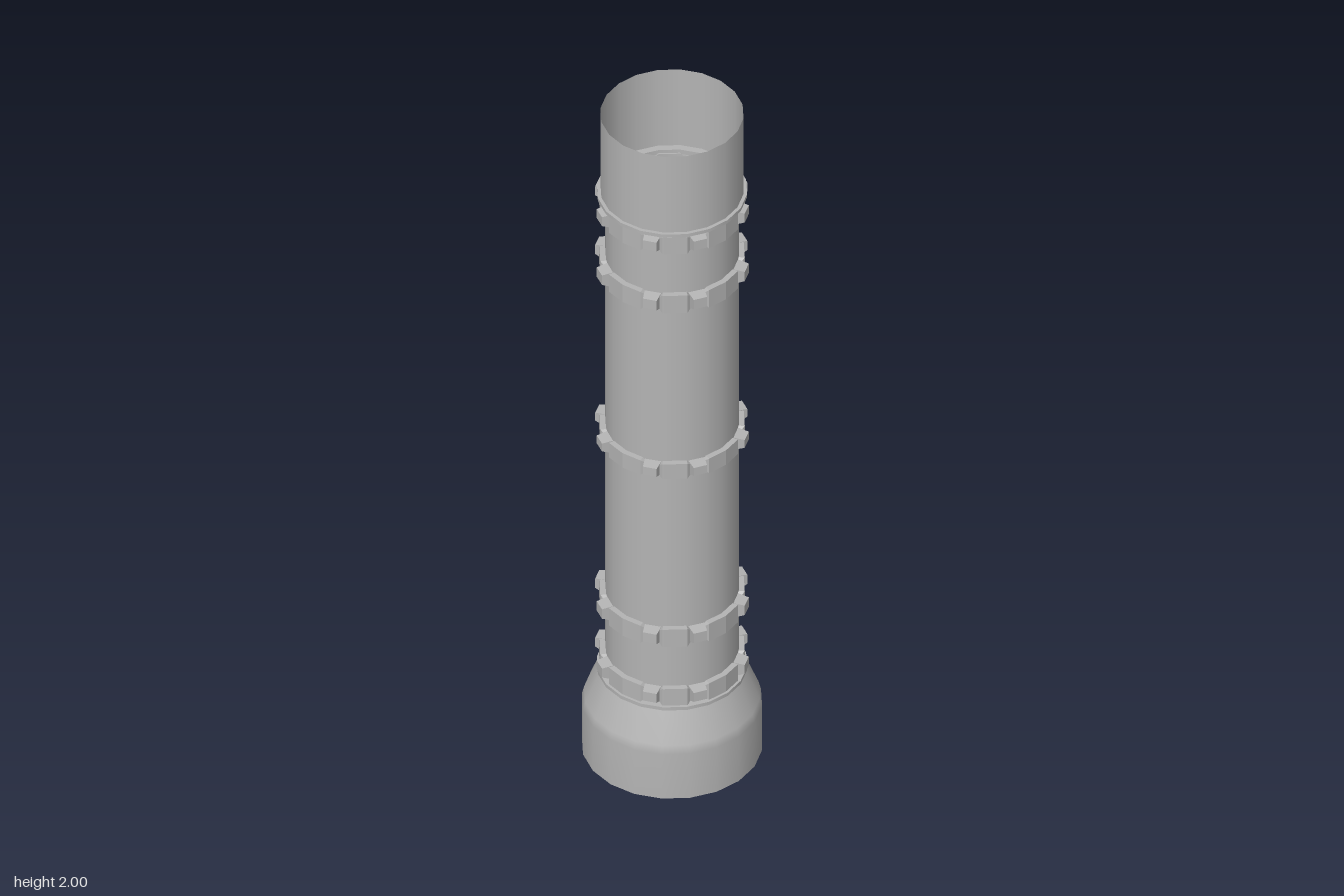
import * as THREE from 'three';

const SIDES = 20;
const DEG = Math.PI / 180;
const LUG_ANGLES = [0, 90, 180, 270].flatMap((q) => [q + 26, q + 64]);

export function createModel() {
  const model = new THREE.Group();
  model.name = 'pipe';
  const metal = new THREE.MeshStandardMaterial({ color: 0xb4b4b4, side: THREE.DoubleSide });
  metal.name = 'grey metal';
  const flatMetal = metal;

  const add = (name, geometry, material = metal, parent = model) => {
    const mesh = new THREE.Mesh(geometry, material);
    mesh.name = name;
    parent.add(mesh);
    return mesh;
  };
  const turned = (name, points) =>
    add(name, new THREE.LatheGeometry(points.map(([r, y]) => new THREE.Vector2(r, y)), SIDES));

  // Open shells: flared base, main tube and wider top sleeve
  turned('base', [[0.228, 0], [0.228, 0.14], [0.222, 0.163], [0.187, 0.25]]);
  turned('mainTube', [[0.169, 0.25], [0.169, 1.755]]);
  turned('topSleeve', [[0.181, 1.755], [0.181, 2]]);

  // Thin flanges where the tube meets the base and the sleeve
  for (const [name, y] of [['lowerFlange', 0.25], ['upperFlange', 1.75]]) {
    turned(name + 'Rim', [[0.19, y], [0.19, y + 0.01]]);
    turned(name + 'Bottom', [[0.169, y], [0.19, y]]);
    turned(name + 'Top', [[0.19, y + 0.01], [0.169, y + 0.01]]);
  }

  // Clamp band: cross-sections swept round the tube, pinched at each lug
  function bandGeometry(height) {
    const stations = [];
    for (let a = 0; a < 360; a += 360 / SIDES) {
      if (LUG_ANGLES.every((l) => Math.abs(l - a) > 9)) stations.push([a, false]);
    }
    for (const l of LUG_ANGLES) {
      stations.push([l - 9, false], [l - 5.5, true], [l + 5.5, true], [l + 9, false]);
    }
    stations.sort((p, q) => p[0] - q[0]);
    const section = ([a, pinched], k) => {
      const h = (pinched ? 0.32 : 0.5) * height;
      const r = pinched ? 0.176 : 0.184;
      const [radius, y] = [[0.165, -h], [r, -h], [r, h], [0.165, h]][k];
      return [radius * Math.sin(a * DEG), y, radius * Math.cos(a * DEG)];
    };
    const positions = [];
    stations.forEach((s, i) => {
      const t = stations[(i + 1) % stations.length];
      for (let k = 0; k < 3; k++) {
        const [a, b, c, d] = [section(s, k), section(t, k), section(t, k + 1), section(s, k + 1)];
        positions.push(...a, ...b, ...c, ...a, ...c, ...d);
      }
    });
    const geometry = new THREE.BufferGeometry();
    geometry.setAttribute('position', new THREE.Float32BufferAttribute(positions, 3));
    geometry.computeVertexNormals();
    return geometry;
  }

  // Lug: block with a sloping underside and tapered outer face
  function lugGeometry(height) {
    const geometry = new THREE.BoxGeometry(0.044, height * 0.9, 0.034).toNonIndexed();
    const p = geometry.attributes.position;
    for (let i = 0; i < p.count; i++) {
      if (p.getZ(i) > 0) {
        p.setX(i, p.getX(i) * 0.82);
        p.setY(i, p.getY(i) * (p.getY(i) < 0 ? 0.4 : 0.8));
      }
    }
    geometry.translate(0, 0, 0.179);
    geometry.computeVertexNormals();
    return geometry;
  }

  // Five clamps along the tube
  const clamps = [[0.287, 0.052], [0.474, 0.055], [1.003, 0.046], [1.533, 0.055], [1.719, 0.052]];
  clamps.forEach(([y, height], i) => {
    const clamp = new THREE.Group();
    clamp.name = 'clamp' + (i + 1);
    clamp.position.y = y;
    model.add(clamp);
    add('band', bandGeometry(height), flatMetal, clamp);
    const lug = lugGeometry(height);
    for (const a of LUG_ANGLES) add('lug', lug, flatMetal, clamp).rotation.y = a * DEG;
  });

  return model;
}
